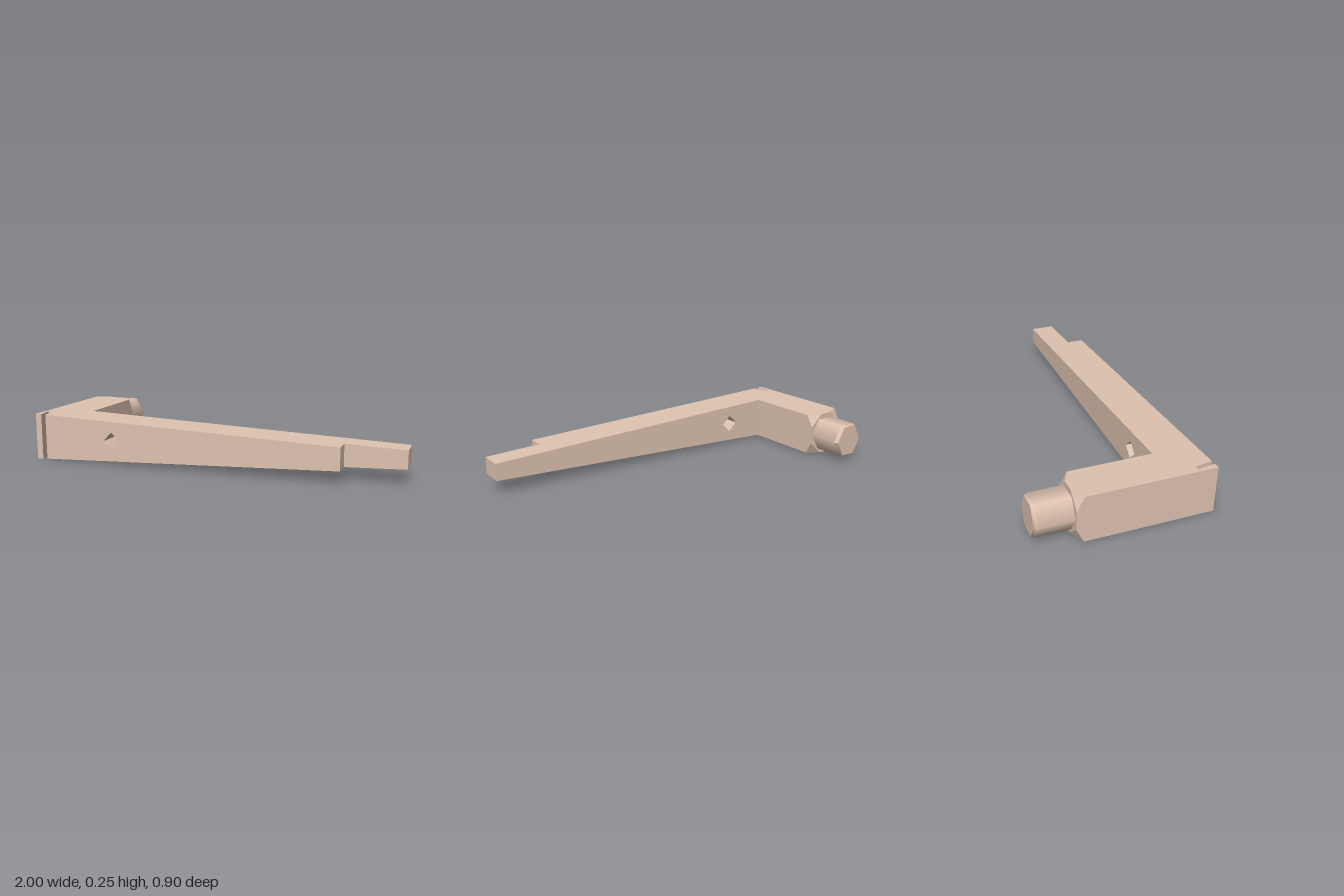
import * as THREE from 'three';
import { ConvexGeometry } from 'three/addons/geometries/ConvexGeometry.js';

const MID = 0.126;                                   // height of the centre line
const half = (x) => 0.125 - 0.039 * (x + 1);         // half height, tapering towards +x
const LEFT = -1, INNER = -0.775, STEP = 0.69, TIP = 1;
const BACK = 0.22, NOTCH = 0.355, FRONT = 0.45, ARM_END = -0.26;

export function createModel() {
  const group = new THREE.Group();
  const material = new THREE.MeshStandardMaterial({ color: 0xdfc3b0 });
  const add = (name, geometry) => {
    const mesh = new THREE.Mesh(geometry, material);
    mesh.name = name;
    group.add(mesh);
  };

  // Tapered bar between two x positions, extruded along z
  const bar = (x0, x1, z0, z1, holes = []) => {
    const shape = new THREE.Shape([[x0, -1], [x1, -1], [x1, 1], [x0, 1]]
      .map(([x, s]) => new THREE.Vector2(x, MID + s * half(x))));
    shape.holes.push(...holes);
    return new THREE.ExtrudeGeometry(shape, { depth: z1 - z0, bevelEnabled: false }).translate(0, 0, z0);
  };

  // Long beam with a diamond hole, and its thinner tip
  const r = 0.05, hx = -0.54;
  const diamond = new THREE.Path([[hx - r, MID], [hx, MID + r], [hx + r, MID], [hx, MID - r]]
    .map(([x, y]) => new THREE.Vector2(x, y)));
  add('beam', bar(INNER, STEP, BACK, FRONT, [diamond]));
  add('beamTip', bar(STEP, TIP, BACK, NOTCH));

  // Corner block with a slanted slot: plan outline in (x, z), raised and tapered
  const plan = new THREE.Shape([
    [LEFT, BACK], [LEFT, FRONT], [-0.966, FRONT], [-0.981, NOTCH],
    [-0.955, NOTCH], [-0.94, FRONT], [INNER, FRONT], [INNER, BACK],
  ].map(([x, z]) => new THREE.Vector2(x, -z)));
  const corner = new THREE.ExtrudeGeometry(plan, { depth: 1, bevelEnabled: false }).rotateX(-Math.PI / 2);
  const cp = corner.attributes.position;
  for (let i = 0; i < cp.count; i++) cp.setY(i, MID + (cp.getY(i) * 2 - 1) * half(cp.getX(i)));
  corner.computeVertexNormals();
  add('slottedCorner', corner);

  // Short arm with its four rear corners cut off
  const points = [];
  for (const [x, inward] of [[LEFT, 0.08], [INNER, -0.075]]) {
    for (const s of [-1, 1]) {
      const y = (px) => MID + s * half(px);
      points.push(
        new THREE.Vector3(x, y(x), BACK),
        new THREE.Vector3(x, y(x), -0.222),
        new THREE.Vector3(x, MID + s * 0.049, ARM_END),
        new THREE.Vector3(x + inward, y(x + inward), ARM_END),
      );
    }
  }
  add('shortArm', new ConvexGeometry(points));

  // Six-sided, smooth-shaded peg with a chamfered end
  const R = 0.104, cx = -0.885;
  const hex = (r0, r1, z0, z1, open) =>
    new THREE.CylinderGeometry(r1, r0, z0 - z1, 6, 1, open, Math.PI / 2)
      .rotateX(-Math.PI / 2).translate(cx, MID, (z0 + z1) / 2);
  add('peg', hex(R, R, ARM_END + 0.01, -0.437, true));
  const chamfer = hex(R, 0.086, -0.437, -0.453, false);
  const p = chamfer.attributes.position;
  for (let i = 0; i < p.count; i++) {
    if (p.getZ(i) < -0.45) p.setY(i, MID + (p.getY(i) - MID) * 1.14);
  }
  chamfer.computeVertexNormals();
  add('pegChamfer', chamfer);

  return group;
}
